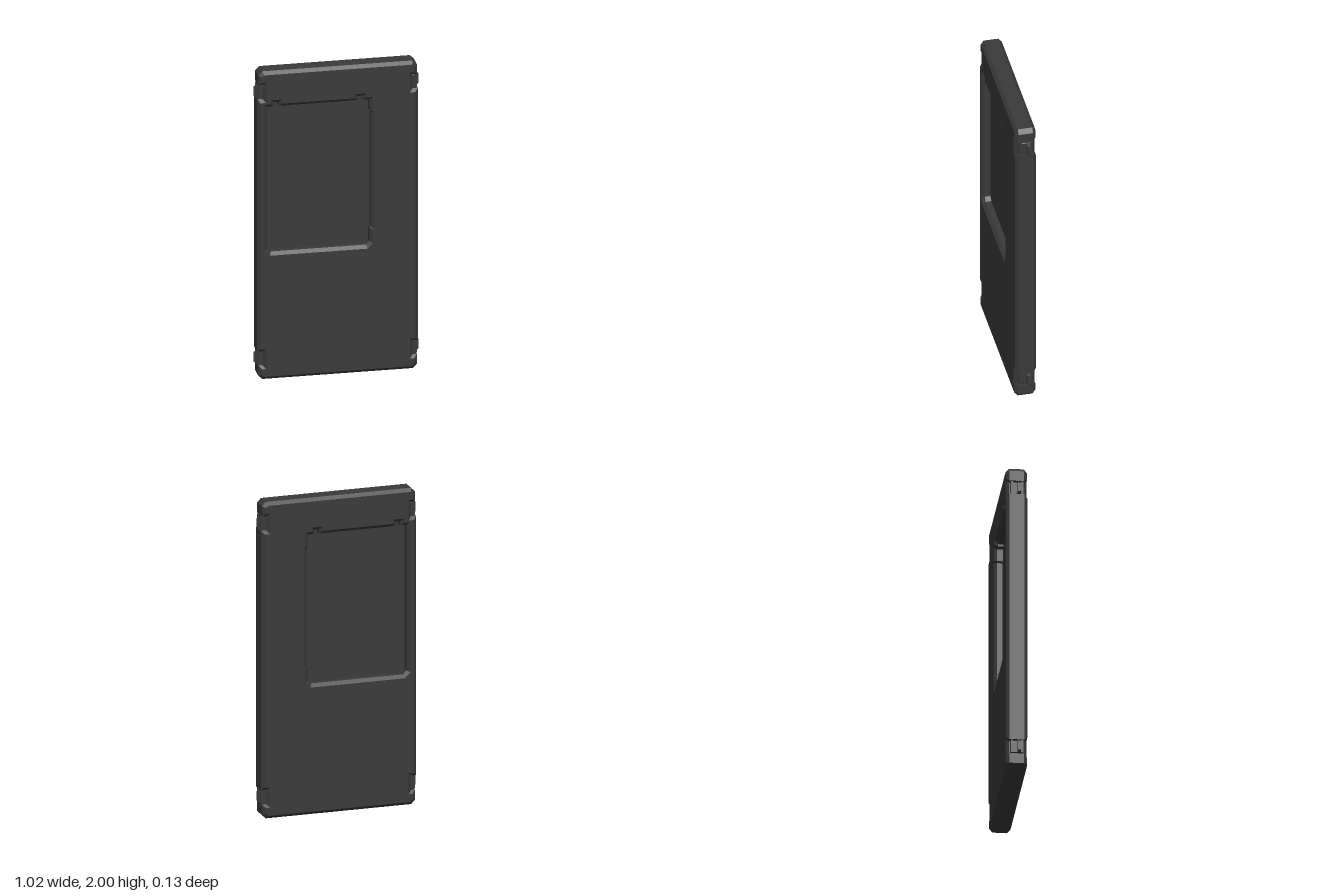
import * as THREE from 'three';

const material = new THREE.MeshStandardMaterial({ color: 0x3a3a3a, flatShading: true });

const shapeOf = (pts) => new THREE.Shape(pts.map(([x, y]) => new THREE.Vector2(x, y)));

// Extrusion centred on z
function slab(name, shape, depth, bevel = 0) {
  const geo = new THREE.ExtrudeGeometry(shape, {
    depth: depth - 2 * bevel, bevelEnabled: bevel > 0, bevelSegments: 1,
    bevelThickness: bevel, bevelSize: bevel, bevelOffset: -bevel,
  });
  geo.translate(0, 0, -(depth - 2 * bevel) / 2);
  const mesh = new THREE.Mesh(geo, material);
  mesh.name = name;
  return mesh;
}

// Right half of the outline from bottom to top, with a notch near each corner
function bodyOutline() {
  const quarter = [
    [0.465, 0], [0.49, 0.025], [0.49, 0.09], [0.463, 0.09], [0.463, 0.18], [0.497, 0.18],
  ];
  const right = [...quarter, ...quarter.map(([x, y]) => [x, 2 - y]).reverse()];
  const left = right.map(([x, y]) => [-x, y]).reverse();
  return shapeOf([...right, ...left]);
}

// Window opening with finger slots on top and a shallow step along its right side
function windowOutline() {
  return shapeOf([
    [-0.412, 0.825], [0.175, 0.825], [0.197, 0.847], [0.197, 0.93], [0.205, 0.94],
    [0.205, 1.68], [0.197, 1.69], [0.197, 1.768],
    [0.155, 1.768], [0.155, 1.795], [0.125, 1.795], [0.125, 1.768],
    [-0.365, 1.768], [-0.365, 1.795], [-0.395, 1.795], [-0.395, 1.768],
    [-0.435, 1.768], [-0.435, 0.848],
  ]);
}

// Clip in a notch: a chamfered block carrying a tapered pin
function makeClip(name) {
  const clip = new THREE.Group();
  clip.name = name;
  const block = slab('clipBlock', shapeOf([
    [0.44, -0.045], [0.475, -0.045], [0.484, -0.036], [0.484, 0.036], [0.475, 0.045], [0.44, 0.045],
  ]), 0.08, 0.006);
  const pin = slab('clipPin', shapeOf([
    [0.475, -0.04], [0.5, -0.04], [0.511, -0.03], [0.511, 0.028], [0.475, 0.042],
  ]), 0.02);
  pin.position.z = -0.015;
  clip.add(block, pin);
  // Thin cheeks either side of the pin
  for (const z of [-0.035, 0.03]) {
    const cheek = new THREE.Mesh(new THREE.BoxGeometry(0.03, 0.085, 0.012), material);
    cheek.name = 'clipCheek';
    cheek.position.set(0.479, 0, z);
    clip.add(cheek);
  }
  return clip;
}

export function createModel() {
  const model = new THREE.Group();
  model.name = 'doorPanel';

  // Chamfered door body with the window cut through
  const outline = bodyOutline();
  outline.holes.push(windowOutline());
  model.add(slab('doorBody', outline, 0.13, 0.02));

  // Pane set halfway into the opening
  const pane = new THREE.Mesh(new THREE.BoxGeometry(0.66, 0.99, 0.02), material);
  pane.name = 'windowPane';
  pane.position.set(-0.117, 1.308, 0);
  model.add(pane);

  // Clips at the four corners; the far side is turned half around
  for (const y of [0.137, 1.863]) {
    for (const side of [1, -1]) {
      const clip = makeClip(side > 0 ? 'leftClip' : 'rightClip');
      clip.position.y = y;
      if (side < 0) clip.rotation.y = Math.PI;
      model.add(clip);
    }
  }

  return model;
}
